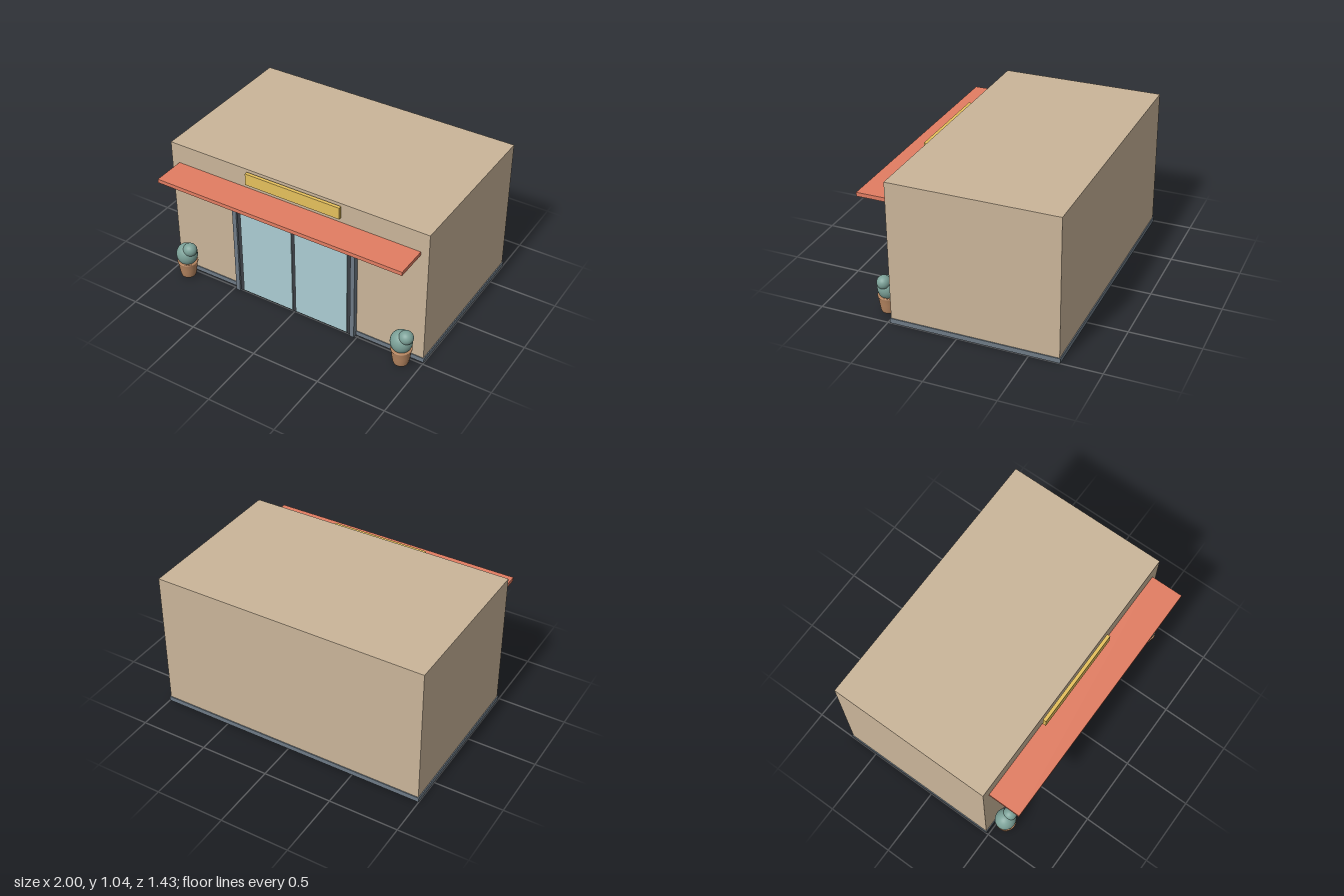
import * as THREE from 'three';

const mat = (name, color) => {
  const m = new THREE.MeshStandardMaterial({ color });
  m.name = name;
  return m;
};

export function createModel() {
  const wall = mat('beige wall', 0xcab599);
  const slate = mat('slate trim', 0x6e7a85);
  const dark = mat('dark frame', 0x3b3e44);
  const glass = mat('pale blue glass', 0xabccd3);
  const red = mat('terracotta awning', 0xe27d62);
  const gold = mat('gold sign', 0xe5c05c);
  const clay = mat('clay pot', 0xb98862);
  const leaf = mat('sage foliage', 0x7ca198);

  const model = new THREE.Group();
  model.name = 'shopfront';

  // Box given by its min and max along each axis
  const box = (name, material, [x0, x1], [y0, y1], [z0, z1]) => {
    const mesh = new THREE.Mesh(new THREE.BoxGeometry(x1 - x0, y1 - y0, z1 - z0), material);
    mesh.position.set((x0 + x1) / 2, (y0 + y1) / 2, (z0 + z1) / 2);
    mesh.name = name;
    model.add(mesh);
  };

  // Building
  box('building', wall, [-0.993, 0.993], [0.002, 1.042], [-0.708, 0.479]);
  box('plinth', slate, [-1, 1], [0, 0.035], [-0.715, 0.485]);

  // Entrance surround
  for (const s of [-1, 1]) {
    box('doorPost', slate, [s * 0.466 - 0.016, s * 0.466 + 0.016], [0, 0.862], [0.475, 0.516]);
  }
  box('lintel', slate, [-0.45, 0.45], [0.831, 0.862], [0.475, 0.516]);

  // Dark door slab showing as a frame around two glass leaves
  box('doorFrame', dark, [-0.45, 0.45], [0.004, 0.826], [0.477, 0.502]);
  for (const s of [-1, 1]) {
    box('doorGlass', glass, [s * 0.217 - 0.204, s * 0.217 + 0.204], [0.014, 0.804], [0.501, 0.509]);
  }

  // Awning, its brackets and the blank sign board
  box('awning', red, [-0.934, 0.934], [0.867, 0.895], [0.475, 0.715]);
  for (const s of [-1, 1]) {
    box('awningBracket', wall, [s * 0.722 - 0.025, s * 0.722 + 0.025], [0.784, 0.867], [0.495, 0.536]);
  }
  box('signBoard', gold, [-0.362, 0.362], [0.941, 1.028], [0.489, 0.513]);

  // Potted shrubs
  const potProfile = [[0, 0.002], [0.042, 0.002], [0.05, 0.007], [0.055, 0.022], [0.063, 0.07],
    [0.069, 0.118], [0.073, 0.121], [0.073, 0.13], [0.066, 0.132], [0, 0.126]].map(p => new THREE.Vector2(...p));
  for (const s of [-1, 1]) {
    const plant = new THREE.Group();
    plant.name = 'pottedShrub';
    plant.position.set(s * 0.869, 0, 0.558);
    const pot = new THREE.Mesh(new THREE.LatheGeometry(potProfile, 28), clay);
    pot.name = 'pot';
    plant.add(pot);
    for (const [name, r, sy, x, y, z] of [
      ['foliage', 0.077, 1.08, -0.002, 0.185, 0],
      ['foliageTop', 0.051, 0.95, 0.037, 0.243, 0.01],
    ]) {
      const ball = new THREE.Mesh(new THREE.SphereGeometry(r, 28, 18), leaf);
      ball.scale.set(1, sy, 0.95);
      ball.position.set(x, y, z);
      ball.name = name;
      plant.add(ball);
    }
    model.add(plant);
  }
  return model;
}
